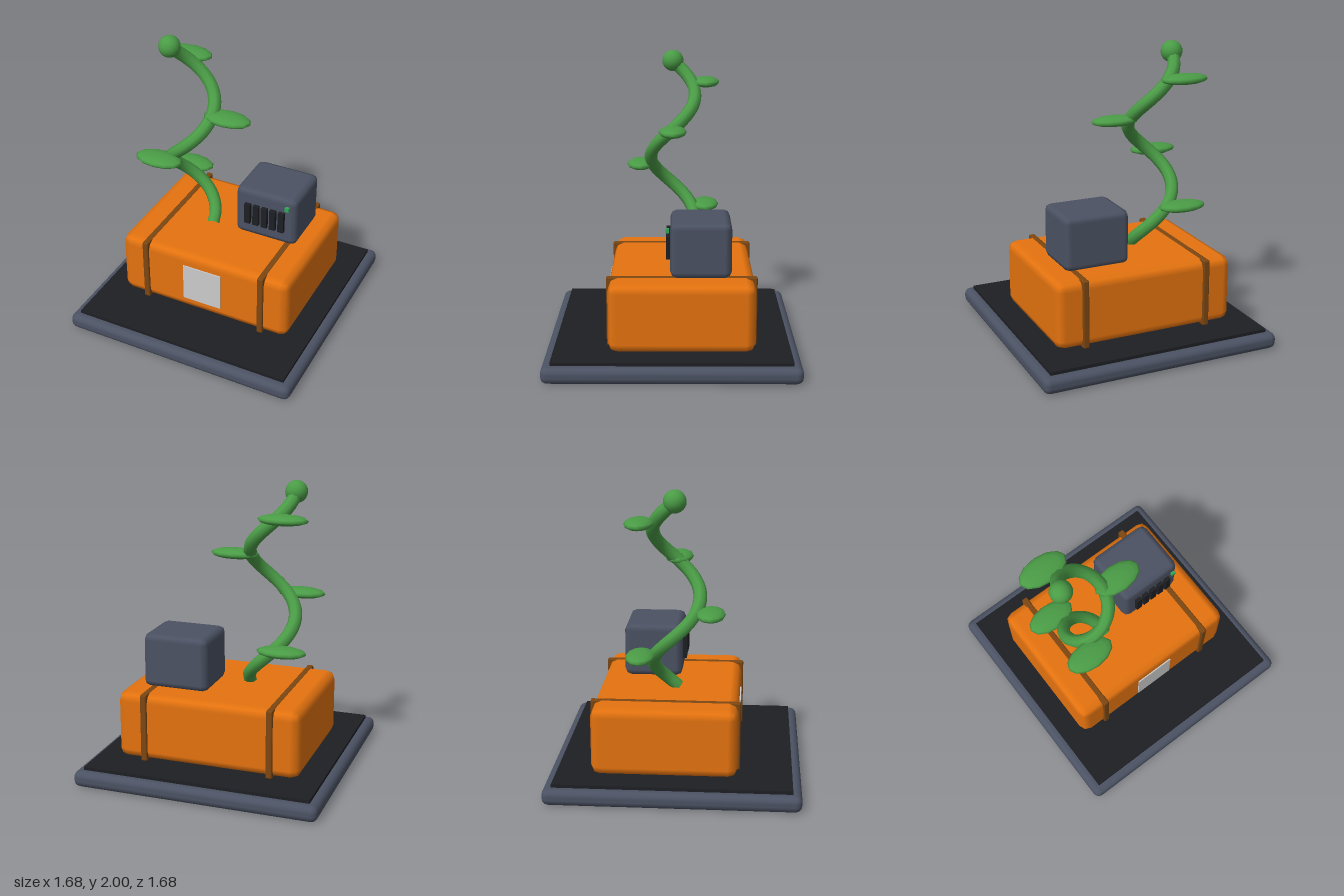
import * as THREE from 'three';
import { RoundedBoxGeometry } from 'three/addons/geometries/RoundedBoxGeometry.js';

const mat = (color) => new THREE.MeshStandardMaterial({ color });
const slate = mat(0x4b5263);
const black = mat(0x1e1f23);
const orange = mat(0xe5730f);
const brown = mat(0x7d4712);
const green = mat(0x4a9c46);
const labelGrey = mat(0xcccccc);
const lampGreen = mat(0x2fa85a);

export function createModel() {
  const model = new THREE.Group();

  const add = (name, geometry, material, x, y, z) => {
    const mesh = new THREE.Mesh(geometry, material);
    mesh.name = name;
    mesh.position.set(x, y, z);
    model.add(mesh);
    return mesh;
  };
  const box = (w, h, d) => new THREE.BoxGeometry(w, h, d);
  const rounded = (w, h, d, r, segments = 1) => new RoundedBoxGeometry(w, h, d, segments, r);

  // Base slab with a thin dark mat
  add('base', rounded(1.68, 0.11, 1.68, 0.045, 2), slate, 0, 0.055, 0);
  add('mat', box(1.56, 0.03, 1.56), black, 0, 0.117, 0);

  // Crate with two straps and a front label
  const crateZ = -0.063;
  add('crate', rounded(1.275, 0.466, 0.965, 0.062), orange, 0, 0.365, crateZ);
  for (const side of [-1, 1]) {
    add('strap', rounded(0.045, 0.47, 0.995, 0.01), brown, side * 0.44, 0.366, crateZ);
  }
  add('label', box(0.285, 0.28, 0.012), labelGrey, -0.003, 0.366, 0.422);

  // Instrument box with vent slats and an indicator lamp
  add('instrumentBox', rounded(0.46, 0.373, 0.402, 0.045), slate, 0.279, 0.786, -0.188);
  for (let i = 0; i < 5; i++) {
    add('ventSlat', box(0.043, 0.155, 0.035), black, 0.153 + i * 0.063, 0.79, 0.0225);
  }
  add('indicatorLamp', box(0.03, 0.03, 0.02), lampGreen, 0.45, 0.914, 0.032);

  // Vine: one and a half turns of a helix
  const turns = 1.5, vineX = -0.284, baseY = 0.6, rise = 1.325;
  const helix = (t, radius) => {
    const a = t * turns * Math.PI * 2;
    return new THREE.Vector3(vineX + radius * Math.cos(a), baseY + rise * t, -radius * Math.sin(a));
  };
  const path = Array.from({ length: 25 }, (_, i) => helix(i / 24, 0.155));
  const stem = new THREE.TubeGeometry(new THREE.CatmullRomCurve3(path), 60, 0.045, 8);
  const stemMat = green.clone();
  stemMat.side = THREE.DoubleSide;
  add('vineStem', stem, stemMat, 0, 0, 0);

  // Bud at the tip
  const tip = helix(1, 0.155);
  add('vineBud', new THREE.SphereGeometry(0.075, 16, 12), green, tip.x, tip.y, tip.z);

  // Flat oval leaves, a third of a turn apart
  const leafGeometry = new THREE.SphereGeometry(1, 12, 8);
  for (let i = 1; i <= 4; i++) {
    const p = helix(i / 4.5, 0.267);
    add('leaf', leafGeometry, green, p.x, p.y, p.z).scale.set(0.171, 0.036, 0.096);
  }

  return model;
}
